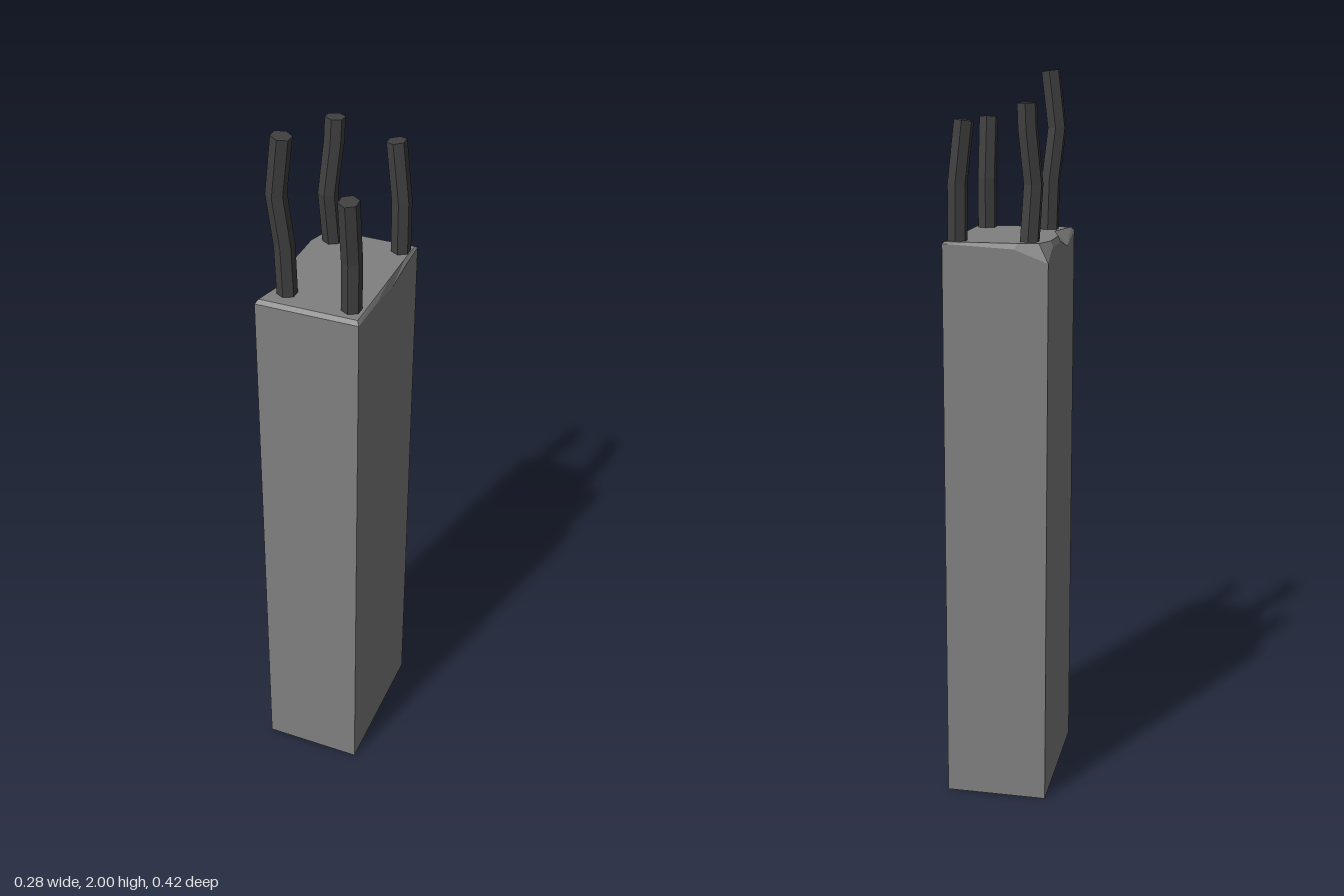
import * as THREE from 'three';

// Flat-faced solid lofted through rings of equal point count, each counterclockwise seen from above
function loft(rings) {
  const pos = [];
  const tri = (a, b, c) => [a, b, c].forEach((p) => pos.push(p.x, p.y, p.z));
  for (let r = 0; r < rings.length - 1; r++) {
    const lo = rings[r], hi = rings[r + 1], n = lo.length;
    for (let i = 0; i < n; i++) {
      const j = (i + 1) % n;
      tri(lo[i], lo[j], hi[j]);
      tri(lo[i], hi[j], hi[i]);
    }
  }
  const cap = (ring, up) => {
    const flat = ring.map((p) => new THREE.Vector2(p.x, -p.z));
    for (const [a, b, c] of THREE.ShapeUtils.triangulateShape(flat, [])) {
      if (up) tri(ring[a], ring[b], ring[c]);
      else tri(ring[a], ring[c], ring[b]);
    }
  };
  cap(rings[0], false);
  cap(rings[rings.length - 1], true);
  const geo = new THREE.BufferGeometry();
  geo.setAttribute('position', new THREE.Float32BufferAttribute(pos, 3));
  geo.computeVertexNormals();
  return geo;
}

// Bent hexagonal bar: each ring lies across the local direction of the path
function barGeometry(path, radius) {
  const pts = path.map((p) => new THREE.Vector3(...p));
  const up = new THREE.Vector3(0, 1, 0);
  return loft(pts.map((p, i) => {
    const dir = pts[Math.min(i + 1, pts.length - 1)].clone().sub(pts[Math.max(i - 1, 0)]).normalize();
    const q = new THREE.Quaternion().setFromUnitVectors(up, dir);
    return Array.from({ length: 6 }, (_, k) => {
      const a = (k * Math.PI) / 3;
      return new THREE.Vector3(Math.sin(a) * radius, 0, Math.cos(a) * radius).applyQuaternion(q).add(p);
    });
  }));
}

export function createModel() {
  const group = new THREE.Group();
  const concrete = new THREE.MeshStandardMaterial({ color: 0x808080 });
  concrete.name = 'concrete';
  const steel = new THREE.MeshStandardMaterial({ color: 0x404040 });
  steel.name = 'dark steel';

  // Pillar with a chipped upper rim: outer x, z, rim height, then inner x, z on the top face
  const top = 1.565;
  const rim = [
    [-0.14, 0.21, 1.555, -0.133, 0.2],
    [0.14, 0.21, 1.555, 0.133, 0.2],
    [0.14, 0.09, 1.552, 0.133, 0.09],
    [0.14, -0.02, 1.54, 0.133, -0.02],
    [0.14, -0.135, 1.555, 0.133, -0.135],
    [0.14, -0.21, 1.56, 0.135, -0.204],
    [-0.05, -0.21, 1.55, -0.06, -0.204],
    [-0.14, -0.21, 1.515, -0.113, -0.197],
    [-0.14, -0.137, 1.55, -0.133, -0.132],
    [-0.14, -0.02, 1.55, -0.133, -0.02],
    [-0.14, 0.09, 1.525, -0.105, 0.09],
  ];
  const pillar = new THREE.Mesh(loft([
    rim.map(([x, z]) => new THREE.Vector3(x, 0, z)),
    rim.map(([x, z, y]) => new THREE.Vector3(x, y, z)),
    rim.map(([, , , x, z]) => new THREE.Vector3(x, top, z)),
  ]), concrete);
  pillar.name = 'pillar';
  group.add(pillar);

  // Four bent reinforcing bars sunk into the top
  const bars = {
    frontRightBar: [[-0.078, 1.5, 0.143], [-0.083, 1.7, 0.146], [-0.098, 1.84, 0.154], [-0.079, 1.992, 0.157]],
    backRightBar: [[-0.078, 1.5, -0.16], [-0.088, 1.71, -0.141], [-0.075, 1.85, -0.152], [-0.073, 1.915, -0.155]],
    frontLeftBar: [[0.1, 1.5, 0.157], [0.1, 1.7, 0.157], [0.1, 1.868, 0.179]],
    backLeftBar: [[0.108, 1.5, -0.17], [0.107, 1.71, -0.169], [0.088, 1.872, -0.17]],
  };
  for (const [name, path] of Object.entries(bars)) {
    const bar = new THREE.Mesh(barGeometry(path, 0.027), steel);
    bar.name = name;
    group.add(bar);
  }
  return group;
}
